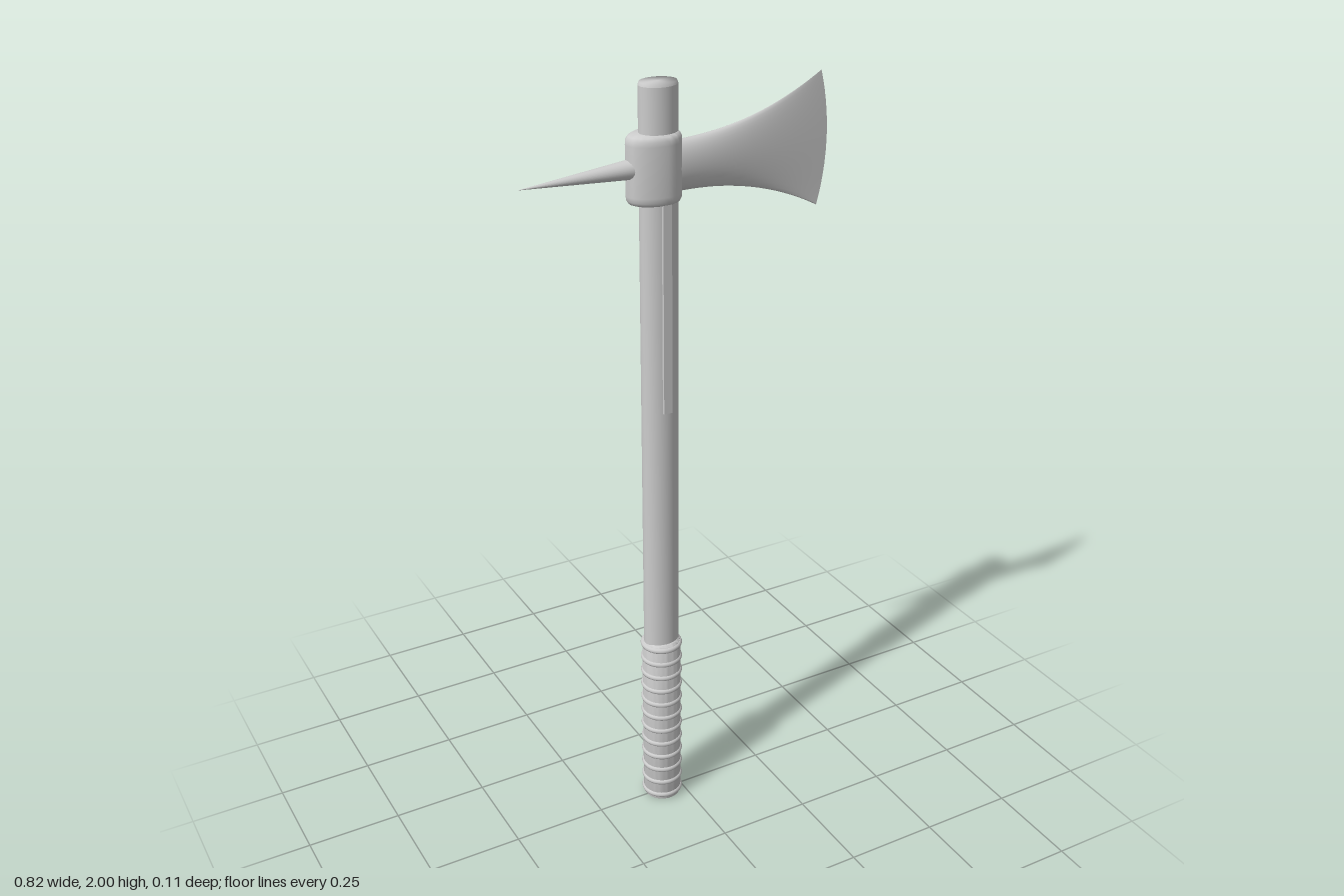
import * as THREE from 'three';
import { toCreasedNormals } from 'three/addons/utils/BufferGeometryUtils.js';

const AXIS = -0.058; // x of the shaft's centre line
const steel = new THREE.MeshStandardMaterial({ color: 0xcccccc });
steel.name = 'plain grey';

function add(group, name, geometry) {
  const mesh = new THREE.Mesh(geometry, steel);
  mesh.name = name;
  group.add(mesh);
  return mesh;
}

function lathe(points, segments = 48) {
  const g = new THREE.LatheGeometry(points.map(([r, y]) => new THREE.Vector2(r, y)), segments);
  return toCreasedNormals(g, 0.7);
}

// Flaring blade: elliptical sections that grow tall and thin out to a curved edge
function bladeGeometry(steps = 24, sides = 32) {
  const pos = [], index = [];
  for (let i = 0; i <= steps; i++) {
    const s = i / steps;
    const half = 0.061 + 0.105 * Math.pow(s, 2.1);
    const mid = 1.797 + 0.009 * s;
    const thick = 0.031 * (1 - s);
    for (let j = 0; j <= sides; j++) {
      const a = (j / sides) * Math.PI * 2;
      const c = Math.cos(a);
      const x = -0.02 + s * (0.425 - 0.023 * s * c * c);
      pos.push(x, mid + half * c, thick * Math.sin(a));
      if (i < steps && j < sides) {
        const p = i * (sides + 1) + j, q = p + sides + 1;
        index.push(p, p + 1, q, p + 1, q + 1, q);
      }
    }
  }
  const g = new THREE.BufferGeometry();
  g.setAttribute('position', new THREE.Float32BufferAttribute(pos, 3));
  g.setIndex(index);
  g.computeVertexNormals();
  return g;
}

export function createModel() {
  const model = new THREE.Group();
  model.name = 'spikedHatchet';

  // Oval shaft with a softly bevelled top
  const shaft = add(model, 'shaft', lathe([[0, 0.02], [1, 0.02], [1, 1.993], [0.95, 2], [0, 2]]));
  shaft.scale.set(0.048, 1, 0.038);
  shaft.position.x = AXIS;

  // Round grip core and its wrapped ridges
  const grip = new THREE.Group();
  grip.name = 'grip';
  grip.position.x = AXIS;
  model.add(grip);
  add(grip, 'gripCore', lathe([
    [0, 0], [0.044, 0], [0.049, 0.003], [0.051, 0.009],
    [0.051, 0.5], [0.049, 0.506], [0.044, 0.51], [0, 0.51],
  ]));
  for (let i = 0; i < 12; i++) {
    const ridge = add(grip, 'gripRidge', new THREE.TorusGeometry(0.047, 0.0085, 10, 48));
    ridge.rotation.x = Math.PI / 2;
    ridge.position.y = 0.018 + i * 0.0435;
  }

  // Rounded collar, stretched into an egg toward the spike
  const collar = lathe([
    [0, 1.72], [0.041, 1.72], [0.046, 1.723], [0.0495, 1.731], [0.05, 1.742],
    [0.05, 1.862], [0.0495, 1.873], [0.046, 1.881], [0.041, 1.885], [0, 1.885],
  ]);
  const p = collar.attributes.position;
  for (let i = 0; i < p.count; i++) {
    const x = p.getX(i);
    p.setX(i, x * (x < 0 ? 1.64 : 1.12));
  }
  collar.computeVertexNormals();
  add(model, 'collar', toCreasedNormals(collar, 0.7)).position.x = AXIS;

  // Cutting blade
  add(model, 'blade', bladeGeometry());

  // Rear spike, tip slightly lower than its root
  const spike = new THREE.ConeGeometry(0.025, 0.3, 32);
  spike.rotateZ(Math.PI / 2);
  const sp = add(model, 'spike', spike);
  sp.position.set(-0.262, 1.803, 0);
  sp.rotation.z = 0.02;

  // Narrow langets down the front and back of the shaft
  for (const side of [1, -1]) {
    const langet = add(model, 'langet', new THREE.BoxGeometry(0.023, 0.55, 0.014));
    langet.position.set(AXIS, 1.465, side * 0.037);
  }

  return model;
}
